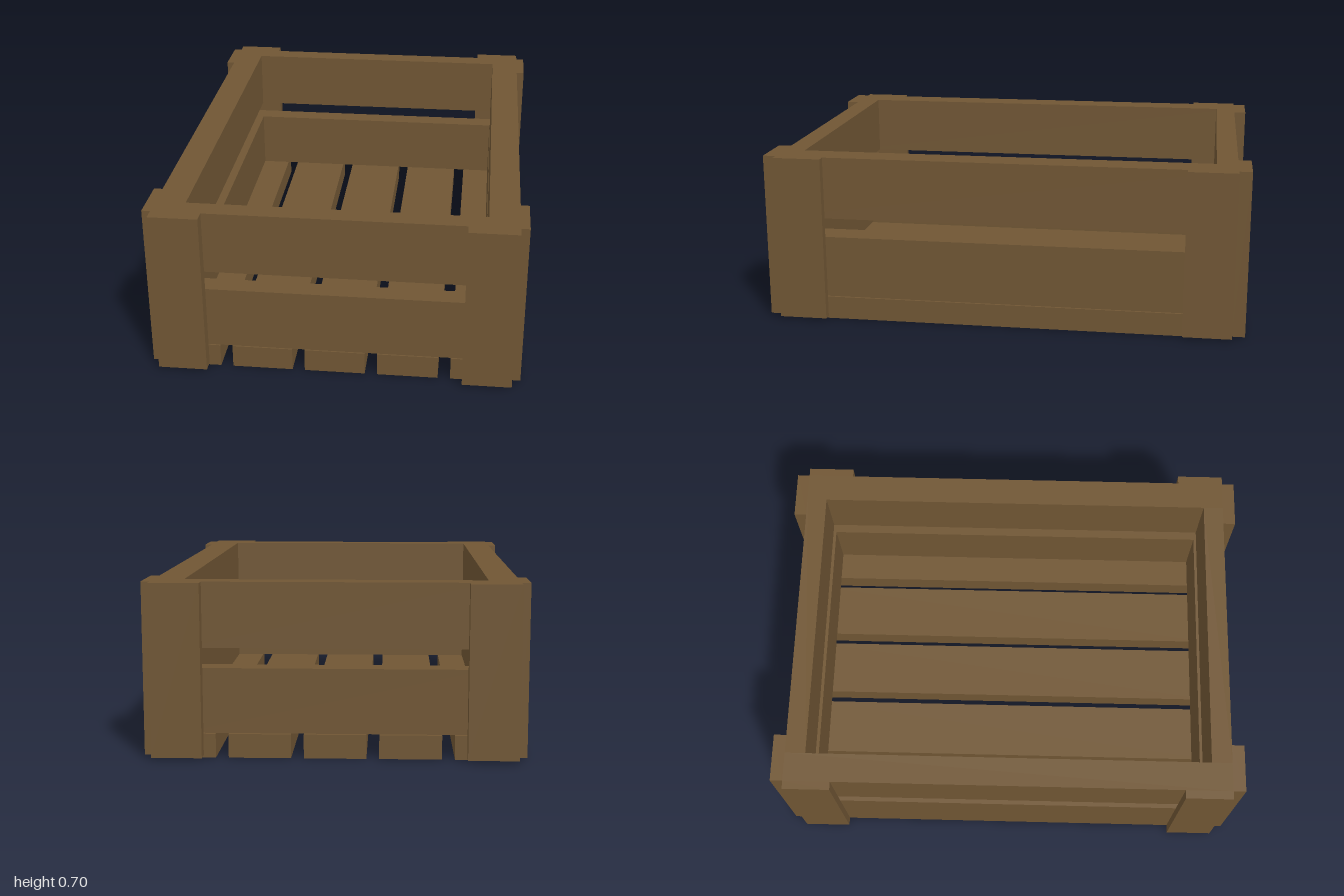
import * as THREE from 'three';

export function createModel() {
  const crate = new THREE.Group();
  crate.name = 'crate';
  const wood = new THREE.MeshStandardMaterial({ color: 0x705634 });
  wood.name = 'brown wood';

  // A plank given by its limits on each axis
  function plank(name, [x0, x1], [y0, y1], [z0, z1]) {
    const mesh = new THREE.Mesh(new THREE.BoxGeometry(x1 - x0, y1 - y0, z1 - z0), wood);
    mesh.position.set((x0 + x1) / 2, (y0 + y1) / 2, (z0 + z1) / 2);
    mesh.name = name;
    crate.add(mesh);
  }
  // Limits of a span on the positive or negative side
  const span = (s, a, b) => (s > 0 ? [a, b] : [-b, -a]);

  const halfW = 0.72, halfL = 0.947, innerW = 0.598, innerL = 0.86;
  const top = 0.70, postFoot = 0.01;

  // Floor slats
  for (let i = 0; i < 5; i++) {
    const x = (i - 2) * 0.2975;
    plank('floorSlat', [x - 0.1235, x + 0.1235], [0, 0.096], [-halfL, halfL]);
  }

  // Two tiers of wall boards
  for (const tier of [[0.10, 0.36], [0.44, top]]) {
    for (const s of [-1, 1]) {
      plank('sideBoard', span(s, innerW, halfW), tier, [-halfL, halfL]);
      plank('endBoard', [-innerW, innerW], tier, span(s, innerL, halfL));
    }
  }

  // Corner battens on the ends and sides
  for (const sx of [-1, 1]) {
    for (const sz of [-1, 1]) {
      plank('endBatten', span(sx, 0.52, halfW), [postFoot, top], span(sz, halfL, 1));
      plank('sideBatten', span(sx, halfW, 0.755), [postFoot, top], span(sz, 0.747, halfL));
    }
  }
  return crate;
}
